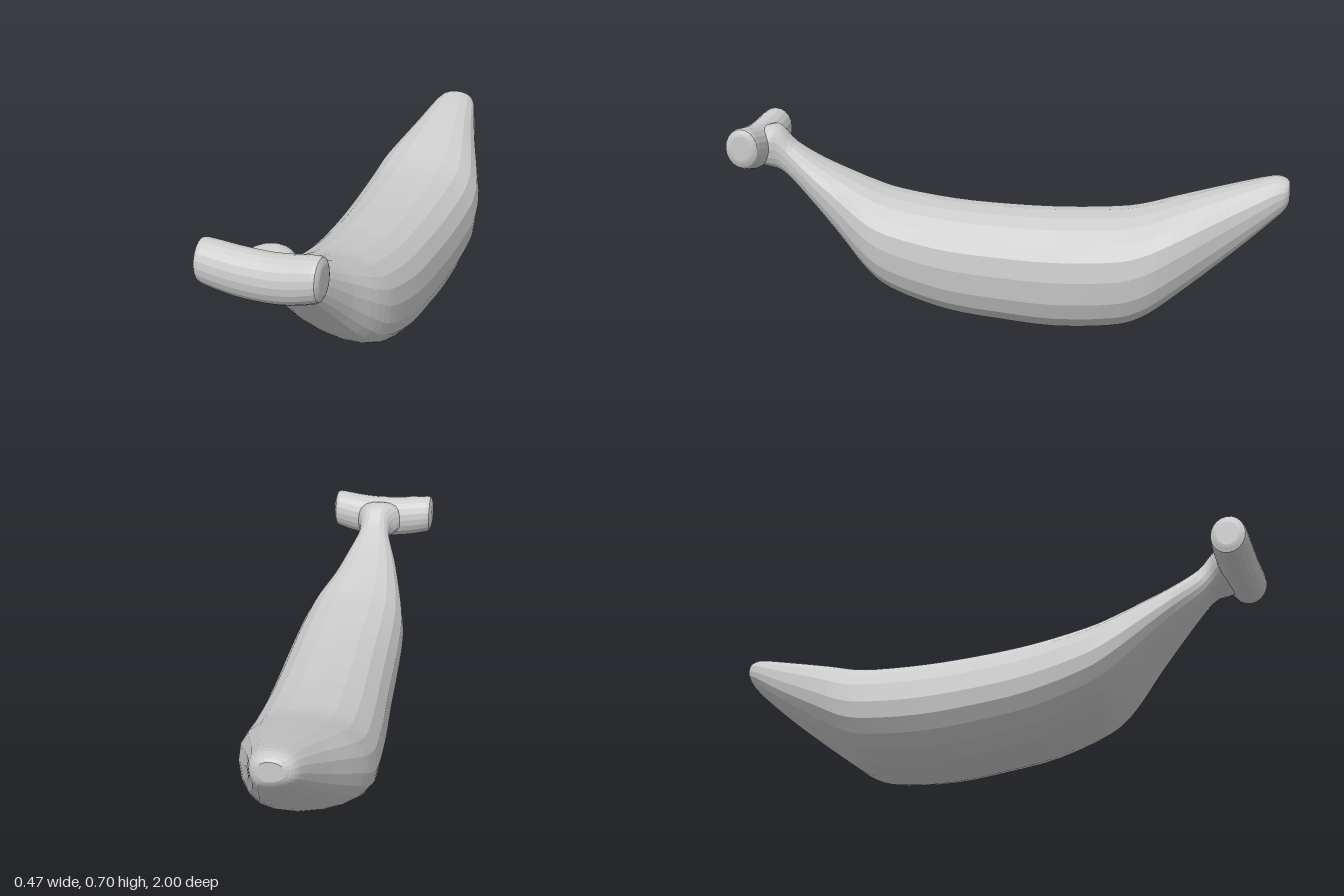
import * as THREE from 'three';

const SIDES = 20;
const material = new THREE.MeshStandardMaterial({ color: 0xcccccc, flatShading: true });

// Smoothly interpolate rows of numbers (Catmull-Rom per column)
function smoothRows(rows, steps) {
  const out = [];
  const row = i => rows[Math.min(Math.max(i, 0), rows.length - 1)];
  for (let i = 0; i < rows.length - 1; i++) {
    for (let s = 0; s < steps; s++) {
      const t = s / steps;
      out.push(rows[i].map((b, k) => {
        const a = row(i - 1)[k], c = row(i + 1)[k], d = row(i + 2)[k];
        return b + 0.5 * t * (c - a + t * (2 * a - 5 * b + 4 * c - d + t * (3 * (b - c) + d - a)));
      }));
    }
  }
  out.push(rows[rows.length - 1]);
  return out;
}

// Skin a list of rings, closing both ends with a fan
function loft(name, rings) {
  const pos = [], index = [];
  rings.forEach(r => r.forEach(p => pos.push(p.x, p.y, p.z)));
  const addCentre = ring => {
    const c = new THREE.Vector3();
    ring.forEach(p => c.addScaledVector(p, 1 / SIDES));
    pos.push(c.x, c.y, c.z);
    return pos.length / 3 - 1;
  };
  const last = (rings.length - 1) * SIDES;
  const start = addCentre(rings[0]), end = addCentre(rings[rings.length - 1]);
  for (let j = 0; j < SIDES; j++) {
    const k = (j + 1) % SIDES;
    for (let i = 0; i < last; i += SIDES) {
      index.push(i + j, i + k, i + SIDES + j, i + k, i + SIDES + k, i + SIDES + j);
    }
    index.push(start, k, j, end, last + j, last + k);
  }
  const geometry = new THREE.BufferGeometry();
  geometry.setAttribute('position', new THREE.Float32BufferAttribute(pos, 3));
  geometry.setIndex(index);
  geometry.computeVertexNormals();
  const mesh = new THREE.Mesh(geometry, material);
  mesh.name = name;
  return mesh;
}

const power = (v, e) => Math.sign(v) * Math.abs(v) ** e;
const ring = fn => Array.from({ length: SIDES }, (_, j) => fn(j / SIDES * Math.PI * 2));

// Curved fruit body, from the blunt tip to the neck
function makeBody() {
  // z, bottom, top, left edge, right edge
  const stations = [
    [-1.0, 0.475, 0.545, -0.05, 0.035],
    [-0.985, 0.45, 0.557, -0.078, 0.06],
    [-0.94, 0.405, 0.56, -0.1, 0.08],
    [-0.8, 0.28, 0.523, -0.145, 0.127],
    [-0.6, 0.12, 0.463, -0.215, 0.205],
    [-0.5, 0.05, 0.433, -0.232, 0.226],
    [-0.4, 0.018, 0.416, -0.235, 0.23],
    [-0.2, 0.002, 0.406, -0.225, 0.229],
    [0.0, 0.017, 0.41, -0.21, 0.228],
    [0.2, 0.045, 0.423, -0.2, 0.228],
    [0.4, 0.11, 0.452, -0.19, 0.215],
    [0.5, 0.18, 0.48, -0.175, 0.19],
    [0.6, 0.285, 0.518, -0.145, 0.14],
    [0.7, 0.39, 0.563, -0.11, 0.1],
    [0.79, 0.475, 0.62, -0.07, 0.062],
    [0.835, 0.513, 0.668, -0.068, 0.06],
    [0.87, 0.527, 0.682, -0.1, 0.075],
    [0.92, 0.545, 0.67, -0.13, 0.09],
  ];
  return loft('body', smoothRows(stations, 3).map(([z, bottom, top, x0, x1]) => {
    const cx = (x0 + x1) / 2, hx = (x1 - x0) / 2;
    const cy = (bottom + top) / 2, hy = (top - bottom) / 2;
    return ring(a => {
      const c = power(Math.cos(a), 0.88), s = power(Math.sin(a), 0.88);
      // the underside leans a little to one side
      const lean = 0.15 * hx * c * Math.max(0, -s);
      const y = Math.max(bottom, cy + hy * s - lean);
      return new THREE.Vector3(cx + hx * c + 0.12 * hx * Math.max(0, -s) * (1 - c * c), y, z);
    });
  }));
}

// Crosswise stem bar with slightly raised, rounded ends
function makeStemBar() {
  // x, centre height, half height, half depth
  const stations = [
    [-0.225, 0.628, 0.045, 0.038],
    [-0.219, 0.627, 0.064, 0.054],
    [-0.203, 0.625, 0.075, 0.063],
    [-0.1, 0.609, 0.081, 0.066],
    [0.0, 0.604, 0.081, 0.066],
    [0.08, 0.61, 0.08, 0.066],
    [0.158, 0.625, 0.075, 0.063],
    [0.174, 0.627, 0.064, 0.054],
    [0.18, 0.628, 0.045, 0.038],
  ];
  return loft('stemBar', smoothRows(stations, 2).map(([x, cy, hy, hz]) =>
    ring(a => new THREE.Vector3(x, cy + hy * Math.cos(a), 0.934 + hz * Math.sin(a)))));
}

export function createModel() {
  const group = new THREE.Group();
  group.name = 'banana';
  group.add(makeBody(), makeStemBar());
  return group;
}
